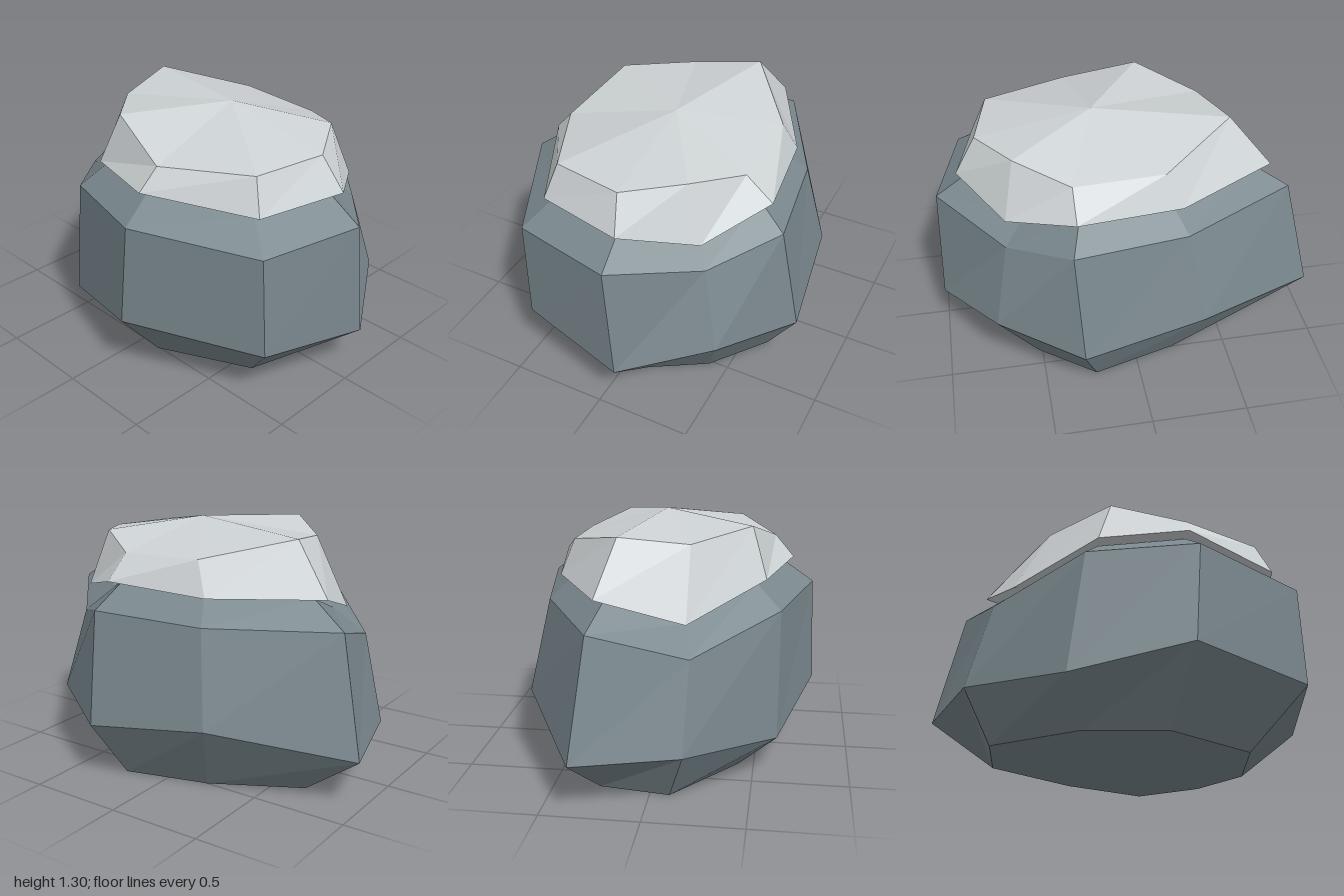
import * as THREE from 'three';

const SIDES = 9;
const point = (x, y, z) => Array(SIDES).fill([x, y, z]);

// Skins a stack of nine-sided rings, listed from bottom to top, with flat facets.
// A ring whose corners coincide closes the end as a fan.
function skinRings(rings) {
  const positions = [];
  const triangle = (a, b, c) => {
    if (a !== b && b !== c && a !== c) positions.push(...a, ...b, ...c);
  };
  for (let r = 0; r < rings.length - 1; r++) {
    const low = rings[r], high = rings[r + 1];
    for (let i = 0; i < SIDES; i++) {
      const j = (i + 1) % SIDES;
      triangle(low[j], low[i], high[i]);
      triangle(low[j], high[i], high[j]);
    }
  }
  const geometry = new THREE.BufferGeometry();
  geometry.setAttribute('position', new THREE.Float32BufferAttribute(positions, 3));
  geometry.computeVertexNormals();
  return geometry;
}

export function createModel() {
  const stone = new THREE.MeshStandardMaterial({ color: 0x7a888e, flatShading: true });
  stone.name = 'slate grey stone';
  const snow = new THREE.MeshStandardMaterial({ color: 0xcdd2d4, flatShading: true });
  snow.name = 'pale grey cap';

  // Boulder: flat foot, wide belly, shoulder and a sloping crown under the cap
  const foot = [
    [-0.66, 0, -0.26], [-0.21, 0, -0.5], [0.23, 0, -0.62], [0.52, 0, -0.4], [0.69, 0, -0.12],
    [0.6, 0, 0.28], [0.12, 0, 0.51], [-0.3, 0, 0.42], [-0.71, 0, 0.1],
  ];
  const belly = [
    [-1, 0.26, -0.35], [-0.33, 0.38, -0.7], [0.31, 0.305, -0.8], [0.73, 0.365, -0.53], [1, 0.255, -0.1],
    [0.86, 0.315, 0.48], [0.18, 0.35, 0.8], [-0.41, 0.21, 0.62], [-0.86, 0.27, 0.18],
  ];
  const shoulder = [
    [-0.86, 0.87, -0.28], [-0.25, 0.87, -0.6], [0.34, 0.89, -0.7], [0.65, 0.79, -0.43], [0.975, 0.87, -0.05],
    [0.84, 0.855, 0.49], [0.22, 0.895, 0.78], [-0.33, 0.87, 0.62], [-0.74, 0.73, 0.2],
  ];
  const crown = shoulder.map(([x, y, z]) => [0.02 + x * 0.79, y + 0.125, z * 0.78]);
  const boulder = new THREE.Mesh(
    skinRings([point(0, 0, 0), foot, belly, shoulder, crown, point(0.05, 1.04, 0)]), stone);
  boulder.name = 'boulder';

  // Cap: overhanging rim, bevelled edge and a low peak
  const rim = [
    [-0.755, 1.01, -0.26], [-0.23, 1, -0.54], [0.31, 1.03, -0.625], [0.64, 0.93, -0.4], [0.86, 1.01, -0.06],
    [0.74, 1, 0.41], [0.2, 1.035, 0.67], [-0.25, 1.01, 0.54], [-0.64, 0.87, 0.17],
  ];
  const edge = [
    [-0.54, 1.27, -0.18], [-0.15, 1.175, -0.48], [0.31, 1.155, -0.48], [0.58, 1.22, -0.3], [0.75, 1.19, -0.02],
    [0.67, 1.18, 0.36], [0.22, 1.15, 0.57], [-0.17, 1.27, 0.46], [-0.45, 1.225, 0.17],
  ];
  const cap = new THREE.Mesh(
    skinRings([point(0.08, 1.01, 0), rim, edge, point(0.15, 1.3, -0.02)]), snow);
  cap.name = 'cap';

  const model = new THREE.Group();
  model.name = 'cappedRock';
  model.add(boulder, cap);
  return model;
}
